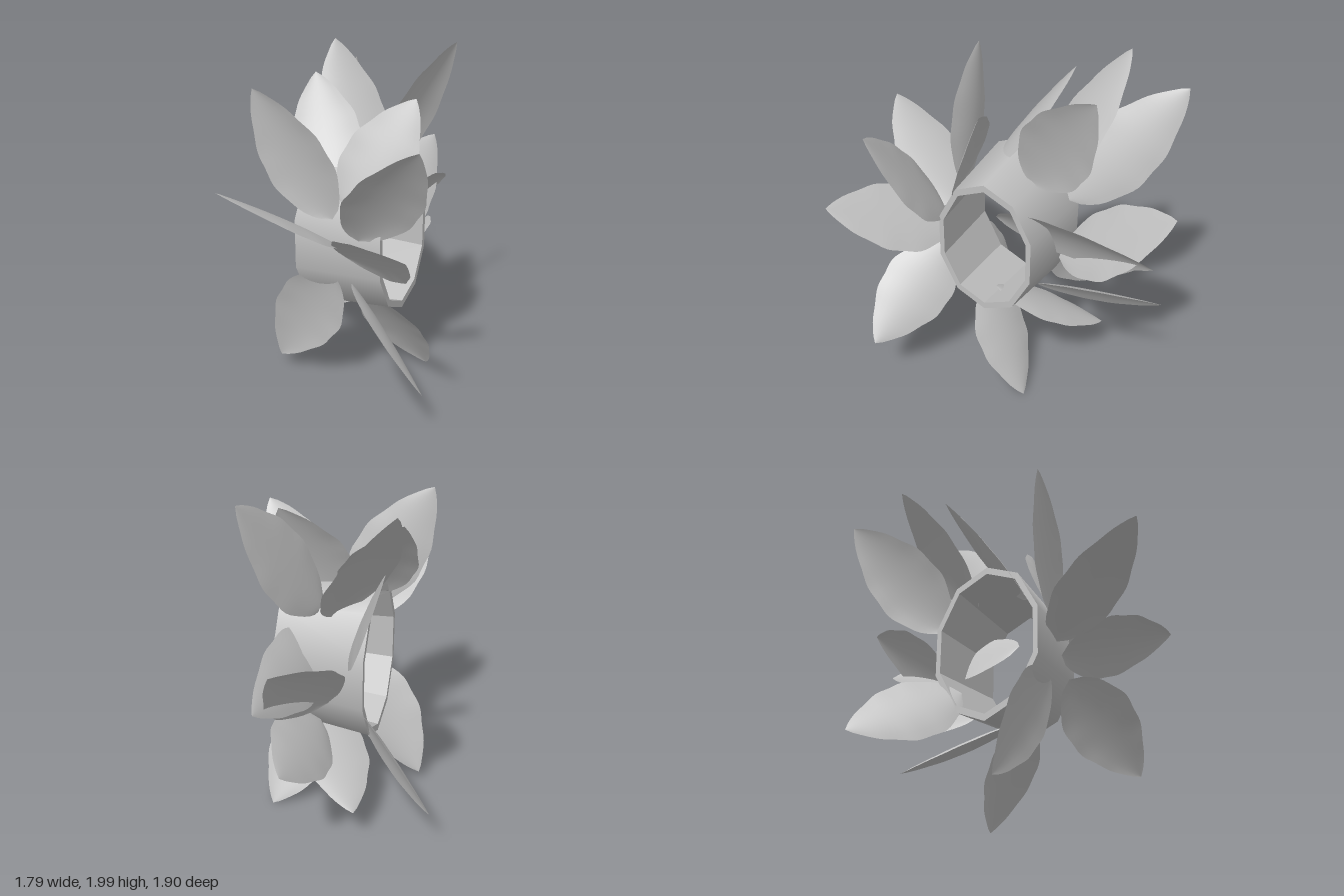
import * as THREE from 'three';

// Leaf half width along its length: rounded at the stem, pointed at the tip
const HALF_WIDTH = 0.21;
const widthAt = (t) => Math.abs(Math.sin(Math.PI * t ** 0.8)) ** 0.8;

// Leaf blade from base to tip, rolled about its length by twist (degrees), slightly cupped
function leafGeometry(base, tip, twist) {
  const b = new THREE.Vector3(...base);
  const axis = new THREE.Vector3(...tip).sub(b);
  const dir = axis.clone().normalize();
  const side = new THREE.Vector3(dir.z, 0, -dir.x).normalize()
    .applyAxisAngle(dir, THREE.MathUtils.degToRad(twist));
  const normal = new THREE.Vector3().crossVectors(side, dir);
  const geo = new THREE.PlaneGeometry(1, 1, 8, 24);
  const pos = geo.attributes.position;
  const p = new THREE.Vector3();
  for (let i = 0; i < pos.count; i++) {
    const s = pos.getX(i) * 2, t = pos.getY(i) + 0.5;
    const k = widthAt(t);
    const wave = 1 + 0.025 * Math.sin(t * 24 + s);
    p.copy(b).addScaledVector(axis, t)
      .addScaledVector(side, s * k * HALF_WIDTH * wave)
      .addScaledVector(normal, 0.03 * (s * s - 0.5) * k);
    pos.setXYZ(i, p.x, p.y, p.z);
  }
  geo.computeVertexNormals();
  return geo;
}

// Each leaf: base, tip, twist
const leaves = [
  // upper leaves
  [[-0.2, 1.13, 0.12], [-0.55, 1.85, -0.14], 76],
  [[-0.13, 1.24, -0.01], [-0.03, 1.83, -0.5], -17],
  [[0.18, 1.27, -0.19], [0.19, 1.98, -0.71], 0],
  [[-0.13, 1.18, 0.16], [0.26, 1.79, 0.22], 50],
  [[0.2, 1.3, -0.11], [0.74, 2, -0.17], -68],
  [[-0.11, 1.04, 0.27], [-0.01, 1.66, 0.75], -33],
  [[0.2, 1.12, -0.36], [0.44, 1.81, -0.93], 63],
  // side leaves
  [[-0.18, 0.98, 0.14], [-0.9, 1.44, 0.27], 0],
  [[-0.15, 0.92, 0.2], [-0.18, 1.19, 0.95], -40],
  [[0.25, 0.62, -0.15], [0.83, 0.73, -0.62], -44],
  [[0.06, 1.03, 0.03], [0.89, 1.05, -0.49], -57],
  [[0.28, 0.8, -0.27], [0.87, 1.31, -0.62], 46],
  // lower leaves
  [[-0.14, 0.78, 0.25], [0.02, 0.32, 0.8], -47],
  [[-0.19, 0.79, 0.1], [-0.37, 0.09, -0.32], 72],
  [[0.06, 0.58, 0.08], [0.48, 0.01, 0.04], -21],
  [[0.11, 0.57, 0.05], [0.33, 0.25, -0.57], -9],
  [[0.1, 0.69, -0.31], [0.11, 0.38, -0.95], -64],
];

export function createModel() {
  const grey = new THREE.MeshStandardMaterial({ color: 0xc0c0c0, side: THREE.DoubleSide });
  grey.name = 'pale grey';
  const model = new THREE.Group();
  model.name = 'leafRing';

  // Oval ten-sided band, wider at the back, axis along its local z
  const band = new THREE.Group();
  band.name = 'band';
  const sides = 10, front = 0.42, back = 0.475, wall = 0.042, depth = 0.53;
  const add = (geo, name) => {
    const mesh = new THREE.Mesh(geo.scale(0.73, 1, 1), grey);
    mesh.name = name;
    band.add(mesh);
  };
  const tube = (inset) => new THREE.CylinderGeometry(front - inset, back - inset, depth, sides, 1, true)
    .rotateX(Math.PI / 2);

  // Smooth outside, faceted inside
  add(tube(0), 'outerWall');
  const inner = tube(wall).toNonIndexed();
  inner.computeVertexNormals();
  add(inner, 'innerWall');

  // Rims closing both ends of the wall
  const rims = [['frontRim', front, depth / 2, 0], ['backRim', back, -depth / 2, Math.PI]];
  for (const [name, r, z, turn] of rims) {
    const rim = new THREE.RingGeometry(r - wall, r, sides, 1).rotateZ(Math.PI / 2).rotateY(turn);
    add(rim.translate(0, 0, z), name);
  }
  band.position.set(0.065, 0.945, -0.035);
  band.rotation.y = THREE.MathUtils.degToRad(36);
  model.add(band);

  // Leaves around the band
  leaves.forEach(([base, tip, twist], i) => {
    const mesh = new THREE.Mesh(leafGeometry(base, tip, twist), grey);
    mesh.name = `leaf${i + 1}`;
    model.add(mesh);
  });
  return model;
}
